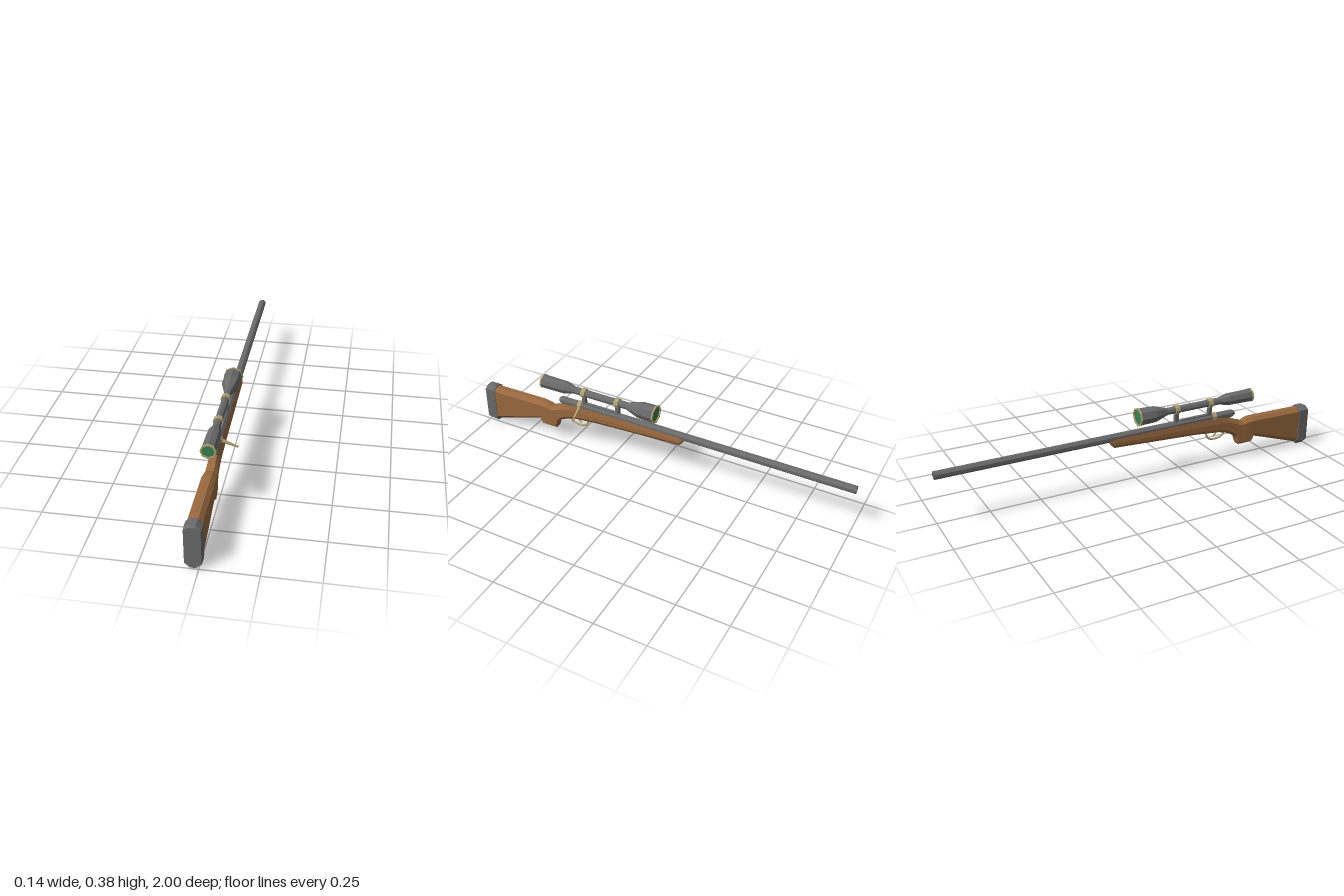
import * as THREE from 'three';

const CX = -0.024; // the long axis sits a little off centre because of the bolt handle
const mat = (color) => new THREE.MeshStandardMaterial({ color, flatShading: true });

export function createModel() {
  const metal = mat(0x6a6a6a), wood = mat(0x99693f), brass = mat(0xb0a270), glass = mat(0x388050);
  const model = new THREE.Group();
  model.name = 'scopedRifle';

  const add = (name, geometry, material, x = CX, y = 0, z = 0) => {
    const mesh = new THREE.Mesh(geometry, material);
    mesh.name = name;
    mesh.position.set(x, y, z);
    model.add(mesh);
    return mesh;
  };

  // Eight-sided turned part along z; profile pairs are [radius, z], rising in z on the outside
  const turned = (name, profile, material, y, twist = 0) => {
    const points = profile.map(([r, z]) => new THREE.Vector2(r, z));
    const geometry = new THREE.LatheGeometry(points, 8, twist);
    geometry.rotateX(Math.PI / 2);
    return add(name, geometry, material, CX, y);
  };

  // Chamfered sections joined along z:
  // [z, top, bottom, halfWidth, topHalf, topChamfer, bottomHalf, bottomChamfer]
  const loft = (sections) => {
    const pos = [], idx = [], n = 8;
    for (const [z, t, b, w, tw, tc, bw, bc] of sections) {
      const ring = [[bw, b], [w, b + bc], [w, t - tc], [tw, t], [-tw, t], [-w, t - tc], [-w, b + bc], [-bw, b]];
      ring.forEach(([x, y]) => pos.push(x, y, z));
    }
    const last = (sections.length - 1) * n;
    for (let i = 0; i < last; i += n) {
      for (let j = 0; j < n; j++) {
        const k = (j + 1) % n;
        idx.push(i + j, i + k, i + n + k, i + j, i + n + k, i + n + j);
      }
    }
    for (let j = 1; j < n - 1; j++) idx.push(0, j + 1, j, last, last + j, last + j + 1);
    const geometry = new THREE.BufferGeometry();
    geometry.setAttribute('position', new THREE.Float32BufferAttribute(pos, 3));
    geometry.setIndex(idx);
    geometry.computeVertexNormals();
    return geometry;
  };

  // Wooden stock: fore-end, wrist, grip and butt
  add('stock', loft([
    [-0.15, 0.246, 0.225, 0.018, 0.016, 0.006, 0.010, 0.008],
    [-0.13, 0.248, 0.202, 0.022, 0.018, 0.020, 0.012, 0.014],
    [0.33, 0.248, 0.178, 0.024, 0.019, 0.030, 0.013, 0.016],
    [0.46, 0.245, 0.165, 0.024, 0.018, 0.030, 0.013, 0.016],
    [0.50, 0.235, 0.154, 0.024, 0.016, 0.022, 0.013, 0.016],
    [0.54, 0.220, 0.136, 0.024, 0.013, 0.018, 0.013, 0.016],
    [0.562, 0.211, 0.115, 0.025, 0.013, 0.018, 0.013, 0.016],
    [0.575, 0.205, 0.076, 0.026, 0.013, 0.018, 0.014, 0.014],
    [0.60, 0.198, 0.075, 0.028, 0.013, 0.014, 0.014, 0.014],
    [0.62, 0.207, 0.075, 0.030, 0.014, 0.016, 0.014, 0.014],
    [0.65, 0.212, 0.075, 0.032, 0.014, 0.018, 0.014, 0.014],
    [0.665, 0.212, 0.106, 0.032, 0.014, 0.018, 0.014, 0.018],
    [0.95, 0.208, 0.012, 0.033, 0.014, 0.018, 0.014, 0.022],
  ]), wood);

  // Butt pad
  add('buttPad', loft([
    [0.943, 0.215, 0.008, 0.036, 0.014, 0.019, 0.012, 0.023],
    [0.955, 0.217, 0.000, 0.037, 0.014, 0.020, 0.012, 0.024],
    [0.990, 0.215, 0.001, 0.037, 0.014, 0.019, 0.012, 0.024],
    [1.000, 0.209, 0.005, 0.036, 0.013, 0.015, 0.012, 0.022],
  ]), metal);

  // Barrel and receiver with an open bore
  const BY = 0.25, flat = Math.PI / 8;
  turned('barrel', [[0, -0.9], [0.012, -0.9], [0.012, -1], [0.0195, -1], [0.0195, 0.535],
    [0.016, 0.545], [0, 0.545]], metal, BY, flat);
  turned('boltCap', [[0.012, 0.53], [0.012, 0.552], [0, 0.552]], brass, BY, flat);
  add('receiverTop', new THREE.BoxGeometry(0.018, 0.008, 0.17), metal, CX, 0.268, 0.325);

  // Bolt collar and handle
  turned('boltCollar', [[0.018, 0.42], [0.0235, 0.42], [0.0235, 0.44], [0.018, 0.44]], brass, BY, flat);
  const handleStart = new THREE.Vector3(CX + 0.015, 0.246, 0.428);
  const handleEnd = new THREE.Vector3(0.068, 0.2135, 0.422);
  const reach = handleEnd.clone().sub(handleStart);
  const handle = add('boltHandle', new THREE.CylinderGeometry(0.0045, 0.009, reach.length(), 8), brass);
  handle.position.copy(handleStart).add(handleEnd).multiplyScalar(0.5);
  handle.quaternion.setFromUnitVectors(new THREE.Vector3(0, 1, 0), reach.normalize());

  // Trigger guard and trigger, bent in the side plane
  const bent = (name, points, radius) => {
    const curve = new THREE.CatmullRomCurve3(points.map(([z, y]) => new THREE.Vector3(0, y, z)));
    add(name, new THREE.TubeGeometry(curve, 16, radius, 6), brass);
  };
  bent('triggerGuard', [[0.50, 0.168], [0.488, 0.142], [0.465, 0.131], [0.42, 0.131], [0.397, 0.145], [0.388, 0.185]], 0.005);
  bent('trigger', [[0.44, 0.18], [0.445, 0.16], [0.432, 0.143]], 0.004);

  // Scope body, rims and lenses
  const SY = 0.33;
  turned('scopeBody', [[0.042, 0.004], [0.044, 0.004], [0.042, 0.085], [0.038, 0.1], [0.0185, 0.16],
    [0.0185, 0.46], [0.032, 0.51], [0.034, 0.645]], metal, SY);
  turned('frontRim', [[0.038, 0.012], [0.039, 0], [0.047, 0], [0.047, 0.007], [0.042, 0.007]], brass, SY);
  turned('rearRim', [[0.032, 0.64], [0.0365, 0.64], [0.0365, 0.648], [0.029, 0.648], [0.029, 0.638]], brass, SY);
  turned('frontLens', [[0, 0.005], [0.0395, 0.005]], glass, SY);
  turned('rearLens', [[0.0305, 0.643], [0, 0.643]], glass, SY);

  // Scope rings on posts
  for (const z of [0.215, 0.405]) {
    turned('scopeRing', [[0.018, z - 0.011], [0.024, z - 0.011], [0.024, z + 0.011], [0.018, z + 0.011]], brass, SY);
    add('scopePost', new THREE.BoxGeometry(0.019, 0.06, 0.018), metal, CX, 0.285, z);
  }

  return model;
}
